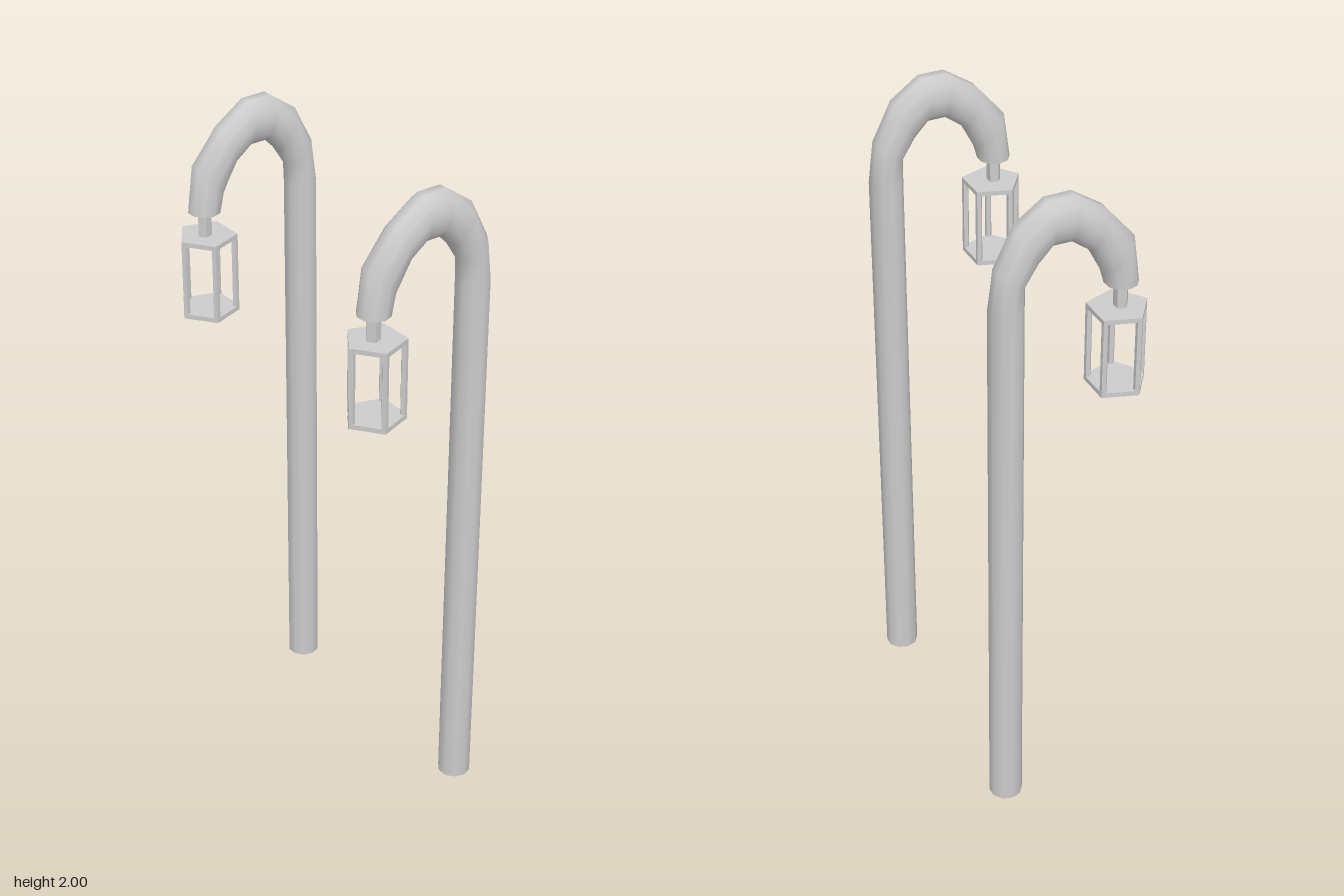
import * as THREE from 'three';

const smooth = new THREE.MeshStandardMaterial({ color: 0xcccccc, side: THREE.DoubleSide });
const flat = new THREE.MeshStandardMaterial({ color: 0xcccccc, side: THREE.DoubleSide, flatShading: true });

// Each section of the pole: outer z, y and inner z, y
const SECTIONS = [
  [-0.233, 0, -0.139, 0],
  [-0.233, 1.7, -0.139, 1.7],
  [-0.217, 1.825, -0.138, 1.765],
  [-0.159, 1.94, -0.1, 1.825],
  [-0.074, 2, -0.058, 1.868],
  [0.005, 2, -0.005, 1.868],
  [0.095, 1.94, 0.053, 1.825],
  [0.18, 1.84, 0.095, 1.745],
  [0.198, 1.7, 0.108, 1.7],
];

// Ten-sided open tube lofted through the sections
function poleGeometry() {
  const sides = 10, halfWidth = 0.049;
  const pos = [], index = [];
  SECTIONS.forEach(([oz, oy, iz, iy], r) => {
    for (let s = 0; s < sides; s++) {
      const a = ((s + 0.5) / sides) * Math.PI * 2;
      const k = Math.cos(a) / Math.cos(Math.PI / sides) / 2;
      pos.push(halfWidth * Math.sin(a), (oy + iy) / 2 + (oy - iy) * k, (oz + iz) / 2 + (oz - iz) * k);
      if (r === 0) continue;
      const n = (s + 1) % sides, lo = (r - 1) * sides, hi = r * sides;
      index.push(lo + s, hi + s, lo + n, lo + n, hi + s, hi + n);
    }
  });
  const geo = new THREE.BufferGeometry();
  geo.setAttribute('position', new THREE.Float32BufferAttribute(pos, 3));
  geo.setIndex(index);
  geo.computeVertexNormals();
  return geo;
}

// Upright pentagonal prism between two heights, one corner facing the front
function prism(name, radius, y0, y1, x = 0, z = 0, open = false) {
  const mesh = new THREE.Mesh(new THREE.CylinderGeometry(radius, radius, y1 - y0, 5, 1, open), flat);
  mesh.name = name;
  mesh.position.set(x, (y0 + y1) / 2, z);
  return mesh;
}

function createLantern() {
  const lantern = new THREE.Group();
  lantern.name = 'lantern';
  const R = 0.088, bar = 0.01;
  lantern.add(prism('lanternTop', R, 1.611, 1.625));
  lantern.add(prism('lanternBase', R, 1.38, 1.394));
  // Corner bars share the faces of the plates
  for (let i = 0; i < 5; i++) {
    const a = (i / 5) * Math.PI * 2;
    lantern.add(prism('lanternBar', bar, 1.394, 1.611, Math.sin(a) * (R - bar), Math.cos(a) * (R - bar)));
  }
  lantern.add(prism('hanger', 0.021, 1.62, 1.71, 0, 0.007, true));
  lantern.position.z = 0.147;
  return lantern;
}

export function createModel() {
  const model = new THREE.Group();
  model.name = 'streetLamps';
  const poleGeo = poleGeometry();
  for (const side of [-1, 1]) {
    const lamp = new THREE.Group();
    lamp.name = side > 0 ? 'leftLamp' : 'rightLamp';
    const pole = new THREE.Mesh(poleGeo, smooth);
    pole.name = 'pole';
    lamp.add(pole, createLantern());
    lamp.position.x = side * 0.388;
    model.add(lamp);
  }
  return model;
}
